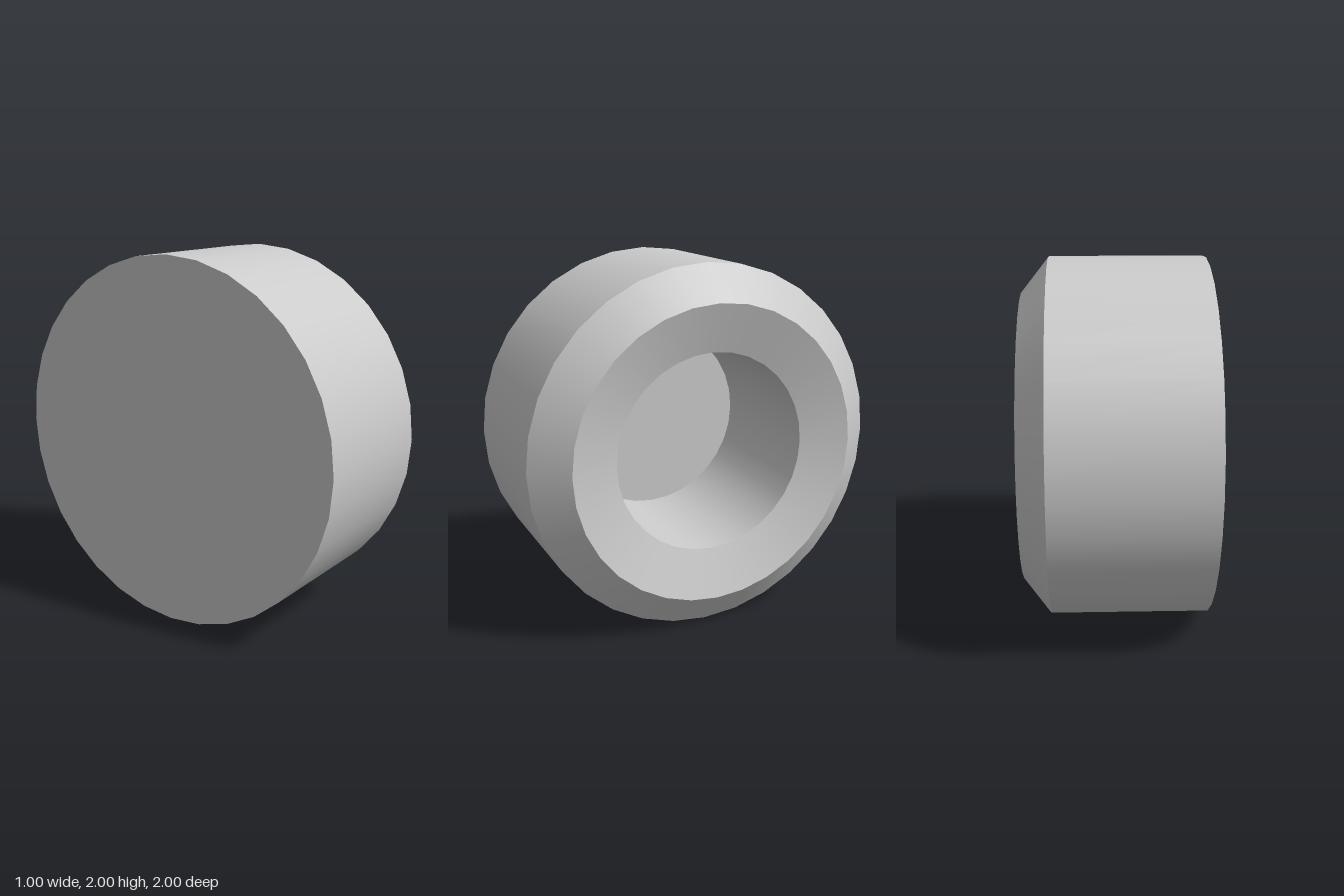
import * as THREE from 'three';

const SIDES = 32;

export function createModel() {
  const group = new THREE.Group();
  group.name = 'hollowCap';
  const material = new THREE.MeshStandardMaterial({ color: 0xcccccc });

  // Profile (radius, height along the axis), from the closed back to the bore floor
  const profile = [
    [0, -0.5], [1, -0.5], [1, 0.35], [0.81, 0.5],
    [0.545, 0.42], [0.545, -0.4], [0, -0.4],
  ].map(([r, h]) => new THREE.Vector2(r, h));

  // One lathed band per segment keeps the rims sharp and the bands smooth
  const names = ['backDisc', 'outerWall', 'outerChamfer', 'dishedFace', 'boreWall', 'boreFloor'];
  const body = new THREE.Group();
  body.name = 'body';
  names.forEach((name, i) => {
    const band = new THREE.Mesh(new THREE.LatheGeometry(profile.slice(i, i + 2), SIDES), material);
    band.name = name;
    body.add(band);
  });

  // Lay the axis along x with the opening at +x, resting on the ground
  body.rotation.z = -Math.PI / 2;
  body.position.y = 1;
  group.add(body);
  return group;
}
